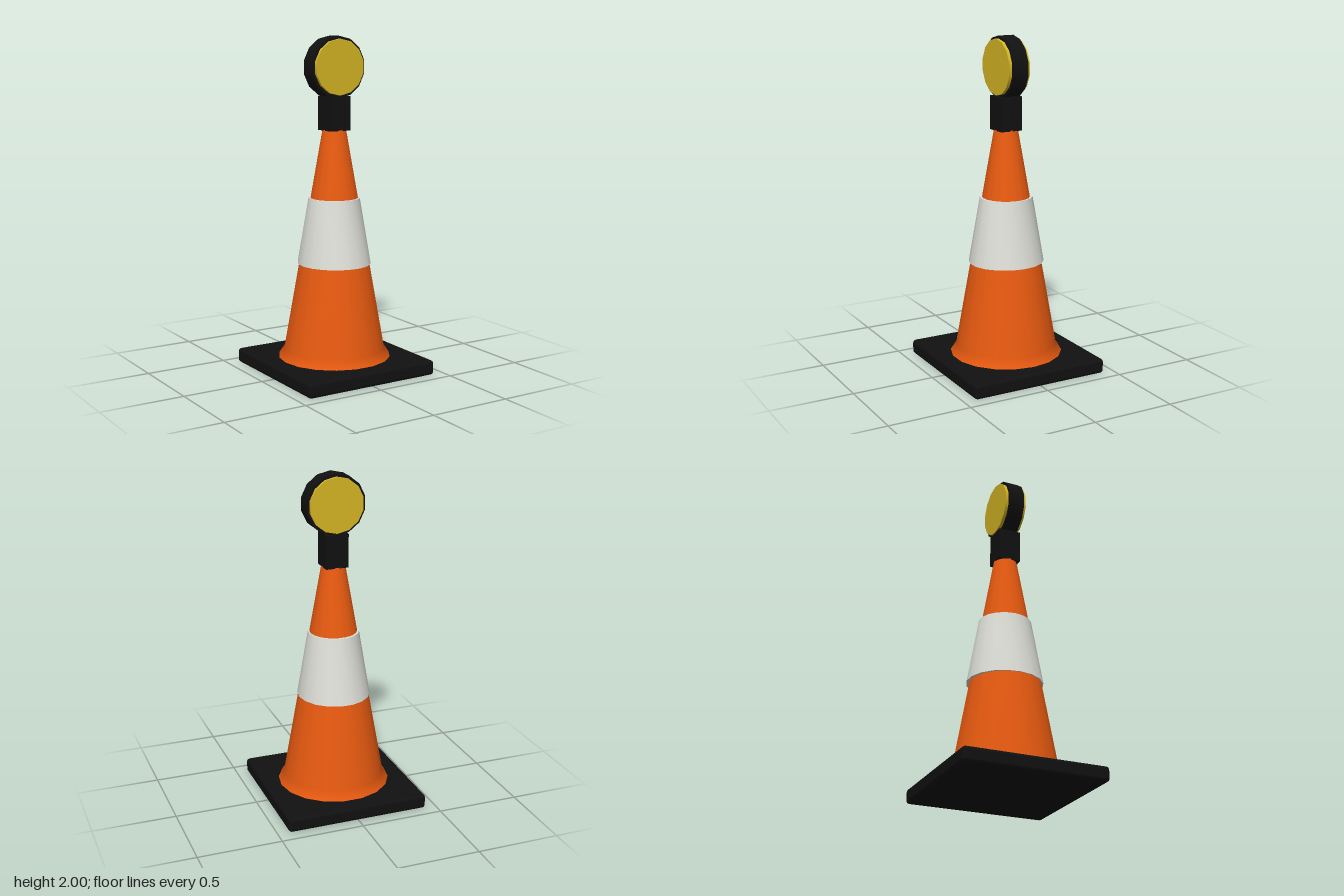
import * as THREE from 'three';
import { toCreasedNormals } from 'three/addons/utils/BufferGeometryUtils.js';
import { RoundedBoxGeometry } from 'three/addons/geometries/RoundedBoxGeometry.js';

const material = (name, color) => {
  const m = new THREE.MeshStandardMaterial({ color });
  m.name = name;
  return m;
};

// Lathe with 18 sides and a corner on the x axis
const turned = (profile) =>
  new THREE.LatheGeometry(profile.map(([r, y]) => new THREE.Vector2(r, y)), 18, Math.PI / 2);

// Short 14-sided drum lying along z
const drum = (radius, depth) =>
  toCreasedNormals(new THREE.CylinderGeometry(radius, radius, depth, 14).rotateX(Math.PI / 2), 0.6);

export function createModel() {
  const group = new THREE.Group();
  const black = material('black rubber', 0x111111);
  const orange = material('orange plastic', 0xe85a10);
  const white = material('reflective white', 0xe0e0da);
  const yellow = material('yellow lens', 0xd6b624);

  const add = (name, geometry, mat, x = 0, y = 0, z = 0) => {
    const mesh = new THREE.Mesh(geometry, mat);
    mesh.name = name;
    mesh.position.set(x, y, z);
    group.add(mesh);
    return mesh;
  };

  // Square foot
  add('base', new RoundedBoxGeometry(0.866, 0.088, 0.866, 2, 0.02), black, 0, 0.044, 0);

  // Flared cone body
  add('cone', turned([[0.34, 0.085], [0.303, 0.14], [0.07, 1.455], [0, 1.455]]), orange);

  // Reflective collar with visible rims, slightly deeper than wide
  const collar = turned([[0.2, 0.655], [0.217, 0.655], [0.151, 1.05], [0.13, 1.05]]);
  add('collar', toCreasedNormals(collar, 0.7), white, 0, 0, -0.002).scale.z = 1.05;

  // Lamp post and housing
  add('lampPost', new THREE.BoxGeometry(0.138, 0.2, 0.138), black, 0, 1.55, 0);
  add('lampHousing', drum(0.181, 0.097), black, 0, 1.819, 0);

  // Lenses on both faces
  for (const side of [1, -1]) {
    add(side > 0 ? 'frontLens' : 'backLens', drum(0.164, 0.027), yellow, 0, 1.82, side * 0.0535);
  }
  return group;
}
